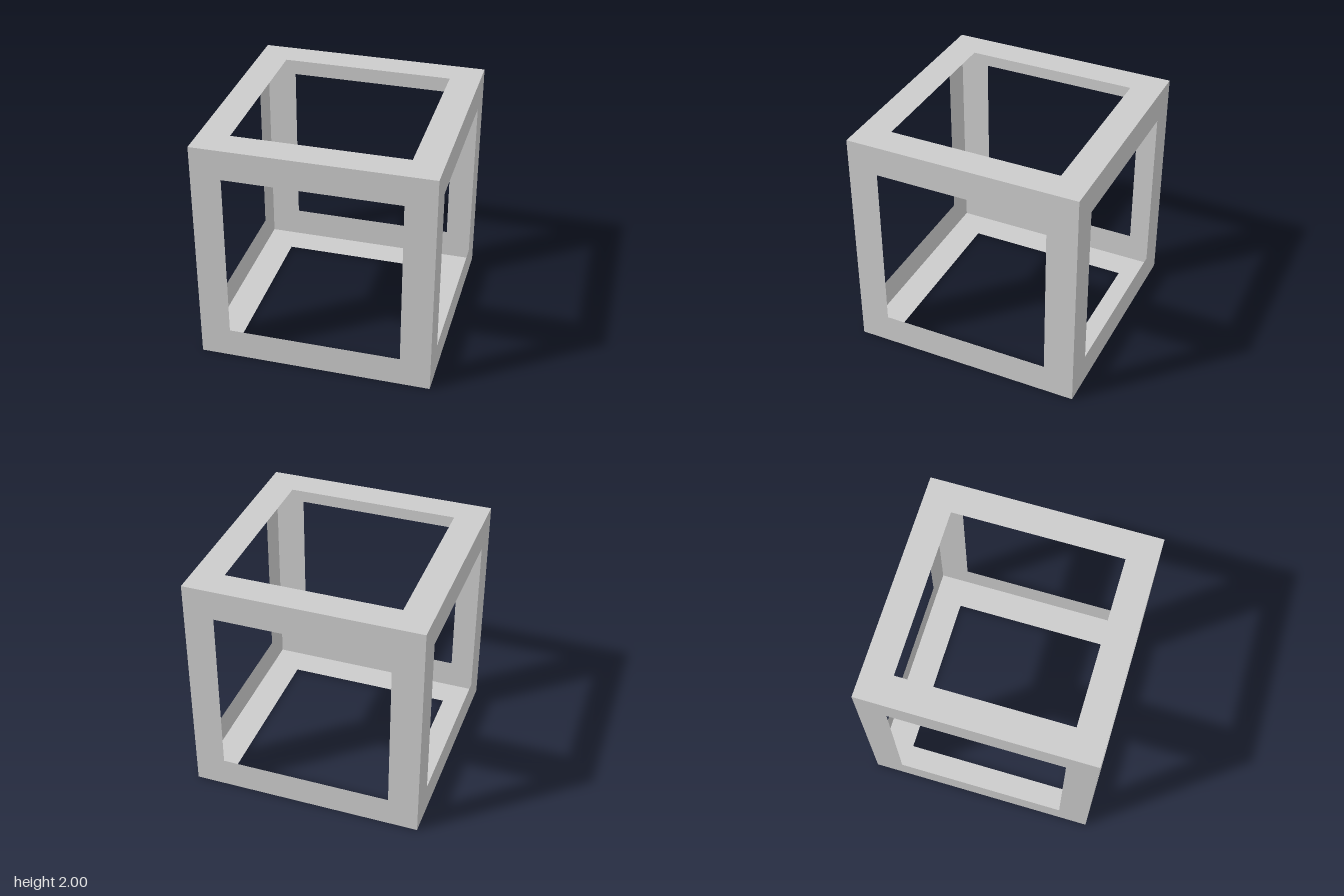
import * as THREE from 'three';

const HALF = 1;       // half the cube's edge
const OPENING = 0.74; // half the window's edge

// Square outline centred on the origin
function square(half, PathType) {
  const path = new PathType();
  path.moveTo(-half, -half);
  path.lineTo(half, -half);
  path.lineTo(half, half);
  path.lineTo(-half, half);
  path.closePath();
  return path;
}

export function createModel() {
  const group = new THREE.Group();
  group.name = 'openCubeFrame';

  const material = new THREE.MeshStandardMaterial({
    color: 0xcccccc,
    flatShading: true,
    side: THREE.DoubleSide,
  });

  // One paper-thin square panel with a square window, moved out to the cube's face
  const shape = square(HALF, THREE.Shape);
  shape.holes.push(square(OPENING, THREE.Path));
  const panel = new THREE.ShapeGeometry(shape);
  panel.translate(0, 0, HALF);

  // Turn the panel onto each of the six faces; the cube is a hollow shell
  const quarter = Math.PI / 2;
  const faces = [
    ['frontPanel', 0, 0],
    ['leftPanel', 0, quarter],
    ['backPanel', 0, Math.PI],
    ['rightPanel', 0, -quarter],
    ['topPanel', -quarter, 0],
    ['bottomPanel', quarter, 0],
  ];
  for (const [name, turnX, turnY] of faces) {
    const mesh = new THREE.Mesh(panel, material);
    mesh.name = name;
    mesh.rotation.set(turnX, turnY, 0);
    mesh.position.y = HALF;
    group.add(mesh);
  }
  return group;
}
